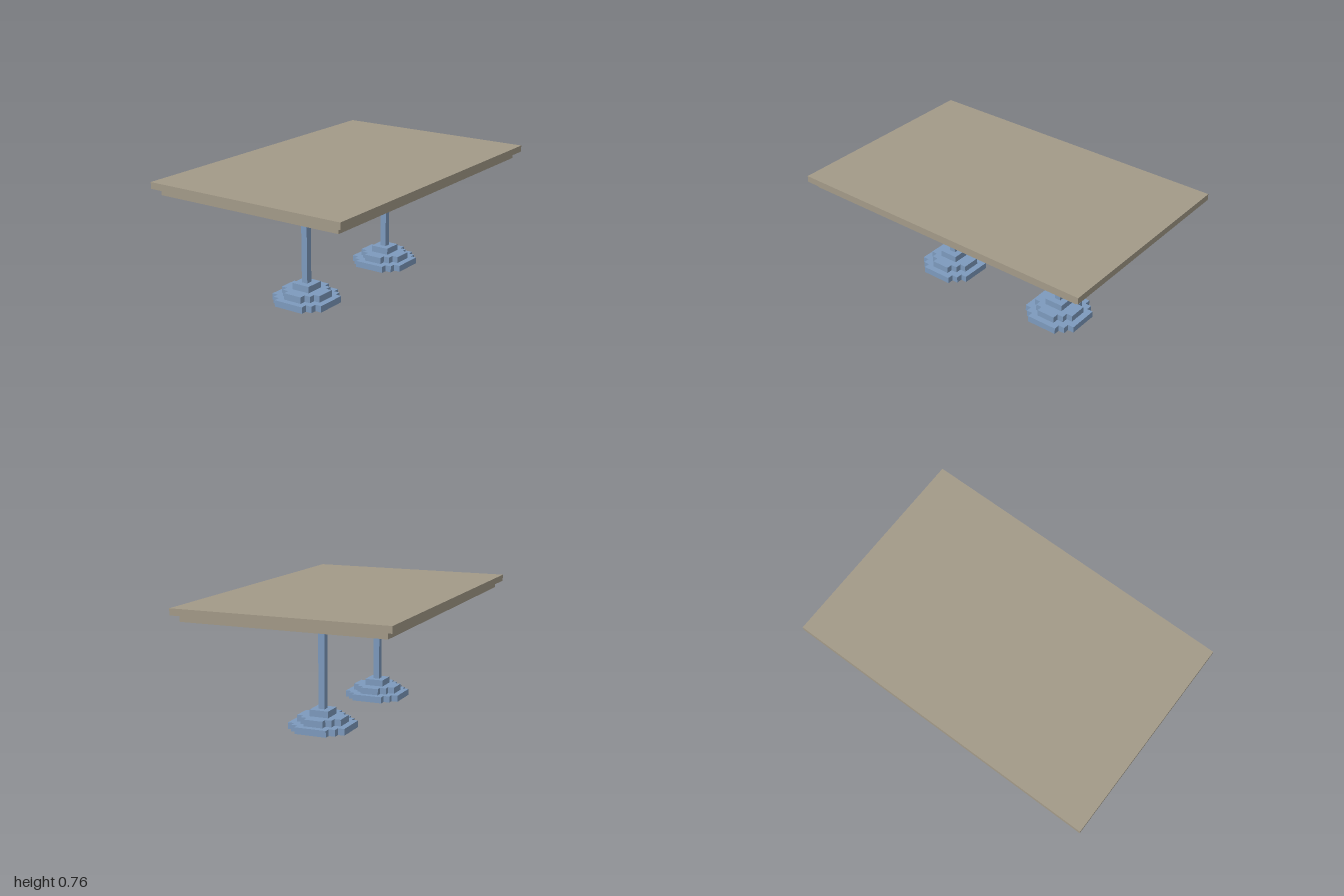
import * as THREE from 'three';

const U = 0.04; // one block

export function createModel() {
  const model = new THREE.Group();
  const wood = new THREE.MeshStandardMaterial({ color: 0xa39a88 });
  wood.name = 'greyWood';
  const steel = new THREE.MeshStandardMaterial({ color: 0x7d9abd });
  steel.name = 'blueSteel';

  const addBox = (parent, name, material, size, y) => {
    const mesh = new THREE.Mesh(new THREE.BoxGeometry(...size), material);
    mesh.name = name;
    mesh.position.y = y + size[1] / 2;
    parent.add(mesh);
  };

  // Stepped disc one block tall: the corner run of one quadrant, turned four times
  const steppedDisc = (corners) => {
    const points = [];
    for (let q = 0; q < 4; q++) {
      for (let [x, z] of corners) {
        for (let i = 0; i < q; i++) [x, z] = [-z, x];
        points.push(new THREE.Vector2(x * U, z * U));
      }
    }
    return new THREE.ExtrudeGeometry(new THREE.Shape(points), { depth: U, bevelEnabled: false })
      .rotateX(-Math.PI / 2);
  };

  // Table top with a slightly smaller slab below
  addBox(model, 'tableTop', wood, [2, U, 1.32], 0.72);
  addBox(model, 'underSlab', wood, [1.92, U, 1.24], 0.68);

  // Foot tiers from the floor up, corners in blocks
  const tiers = [
    [[4.5, 2.5], [3.5, 2.5], [3.5, 3.5], [2.5, 3.5], [2.5, 4.5]],
    [[3.5, 1.5], [2.5, 1.5], [2.5, 2.5], [1.5, 2.5], [1.5, 3.5]],
    [[1.5, 1.5]],
  ].map(steppedDisc);

  // Two pedestals
  for (const side of [-1, 1]) {
    const pedestal = new THREE.Group();
    pedestal.name = side > 0 ? 'leftPedestal' : 'rightPedestal';
    pedestal.position.x = side * 0.42;
    tiers.forEach((geometry, i) => {
      const tier = new THREE.Mesh(geometry, steel);
      tier.name = `footTier${i + 1}`;
      tier.position.y = i * U;
      pedestal.add(tier);
    });
    addBox(pedestal, 'post', steel, [U, 0.56, U], 0.12);
    model.add(pedestal);
  }
  return model;
}
